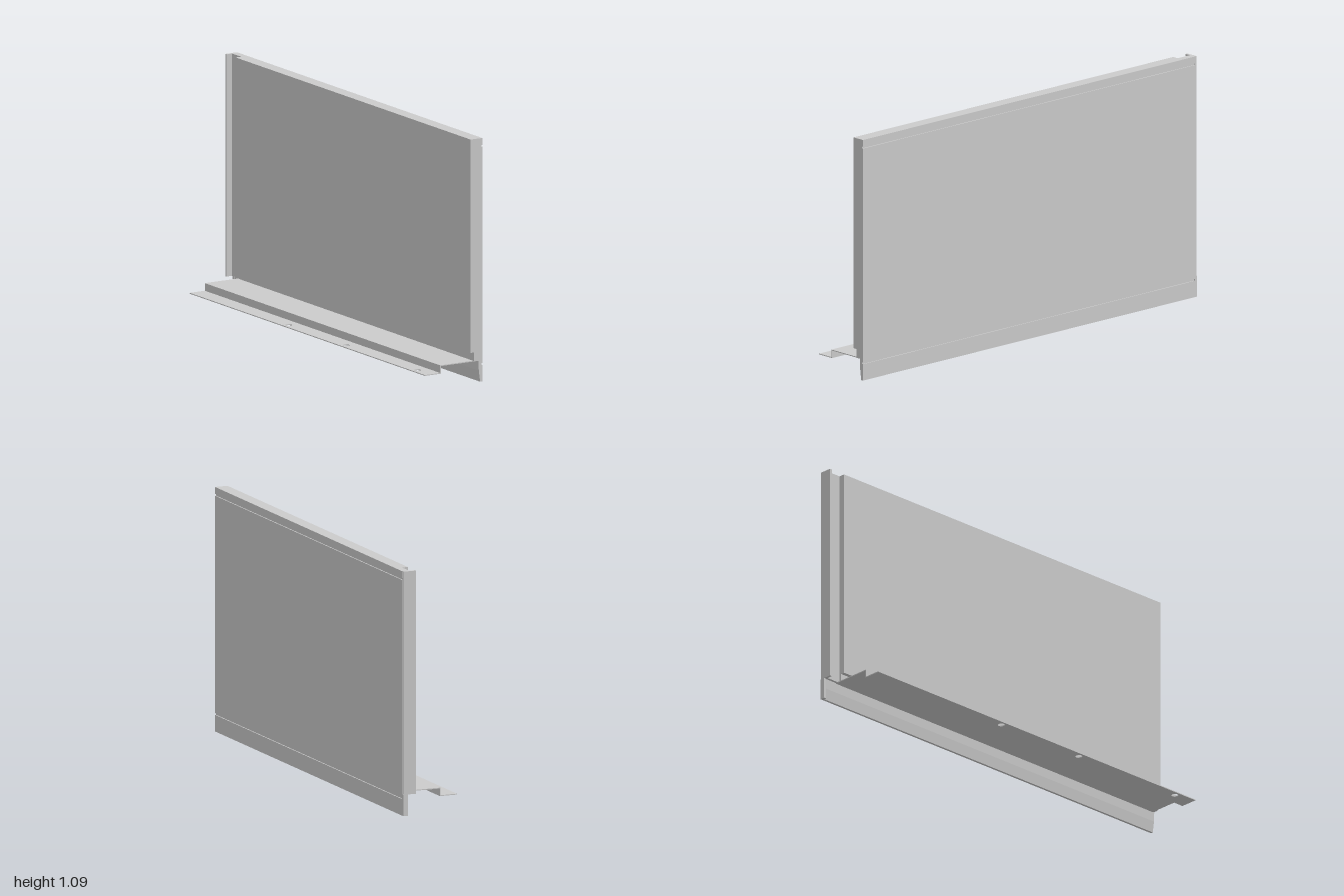
import * as THREE from 'three';

const material = new THREE.MeshStandardMaterial({ color: 0xcccccc, flatShading: true });

// Extrude an (x, y) outline between two z positions.
function extrudeZ(name, points, z0, z1) {
  const shape = new THREE.Shape(points.map(([x, y]) => new THREE.Vector2(x, y)));
  const geo = new THREE.ExtrudeGeometry(shape, { depth: z1 - z0, bevelEnabled: false });
  geo.translate(0, 0, z0);
  const mesh = new THREE.Mesh(geo, material);
  mesh.name = name;
  return mesh;
}

// Outer face, bottom to top, with two shallow grooves.
const OUT = 0.145, DEPTH = 0.005, TOP = 1.09;
const outerFace = [[OUT, 0]];
for (const y of [0.078, 1.055]) {
  outerFace.push([OUT, y - 0.004], [OUT - DEPTH, y - 0.004], [OUT - DEPTH, y + 0.004], [OUT, y + 0.004]);
}
outerFace.push([OUT, TOP]);

export function createModel() {
  const group = new THREE.Group();
  group.name = 'wallPanel';

  // Full-thickness panel with a recessed foot and tapering skirt
  group.add(extrudeZ('panel', [
    ...outerFace,
    [0.085, TOP], [0.085, 0.135], [0.103, 0.135], [0.103, 0.095],
    [0.125, 0.095], [0.127, 0.05], [0.134, 0],
  ], -0.915, 1));

  // Thin outer tongue that runs past the panel's back end
  group.add(extrudeZ('tongue', [
    ...outerFace, [0.113, TOP], [0.113, 0.095], [0.125, 0.095], [0.127, 0.05], [0.134, 0],
  ], -0.988, -0.915));

  // Hooked lip closing the back end
  group.add(extrudeZ('endLip', [
    [0.122, 0], [OUT, 0], [OUT, 0.095], [OUT - 0.002, 0.095], [OUT - 0.002, TOP],
    [0.085, TOP], [0.085, 0.095], [0.122, 0.095],
  ], -1, -0.988));

  // Stepped mounting flange: raised shelf and riser
  const T = 0.004;
  group.add(extrudeZ('flangeShelf', [
    [-0.067, 0.06], [-0.063, 0.06], [-0.063, 0.096 - T], [0.128, 0.096 - T], [0.128, 0.096], [-0.067, 0.096],
  ], -0.927, 0.99));

  // Lower flange strip with screw holes, drawn in (x, -z) and laid flat
  const strip = new THREE.Shape([
    new THREE.Vector2(-0.145, -0.99), new THREE.Vector2(-0.063, -0.99),
    new THREE.Vector2(-0.063, 0.927), new THREE.Vector2(-0.145, 0.927),
  ]);
  for (const z of [0.89, 0.31, -0.16]) {
    strip.holes.push(new THREE.Path().absarc(-0.12, -z, 0.015, 0, Math.PI * 2, true));
  }
  const stripGeo = new THREE.ExtrudeGeometry(strip, { depth: T, bevelEnabled: false, curveSegments: 24 });
  stripGeo.rotateX(-Math.PI / 2).translate(0, 0.058, 0);
  const stripMesh = new THREE.Mesh(stripGeo, material);
  stripMesh.name = 'flangeStrip';
  group.add(stripMesh);

  return group;
}
